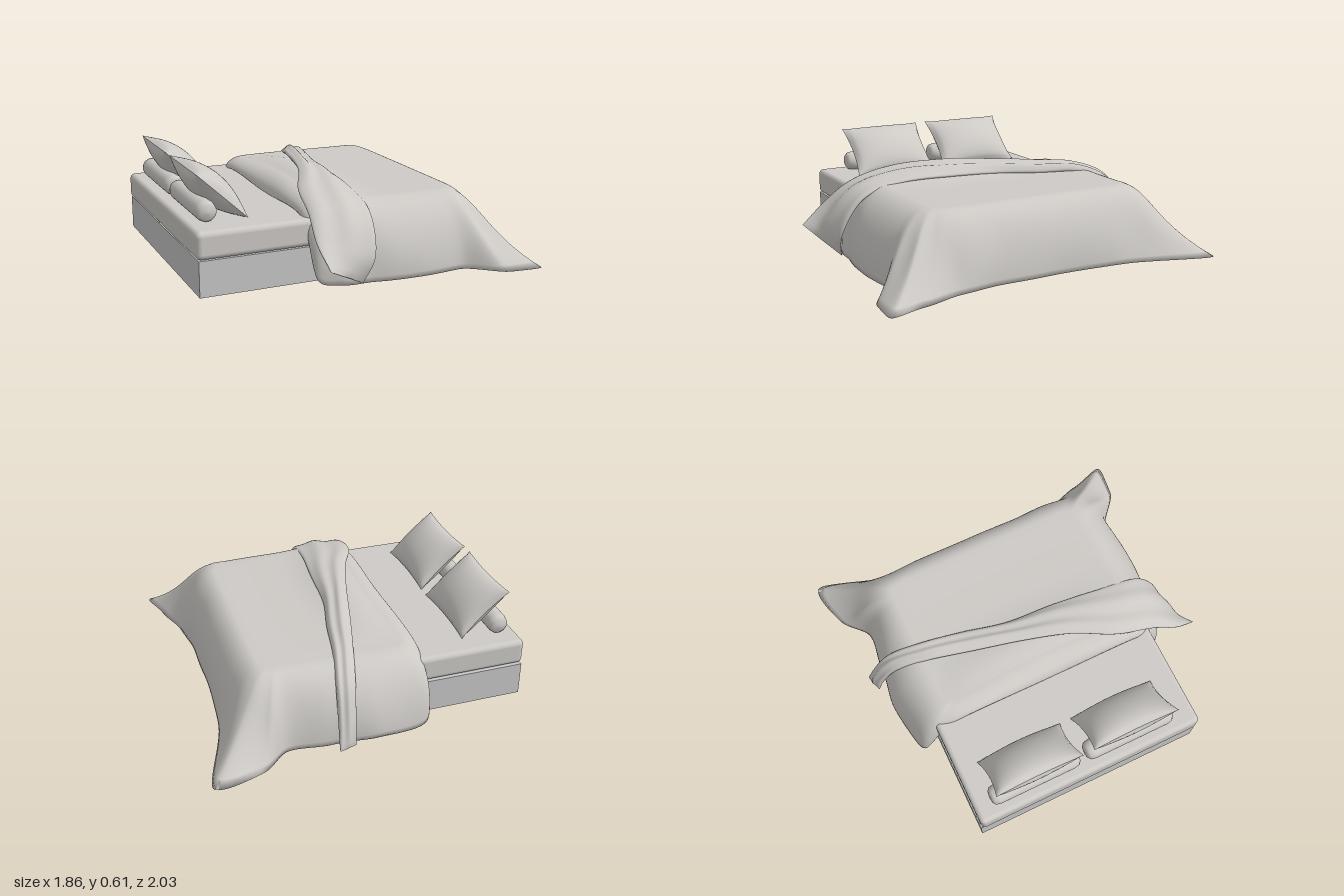
import * as THREE from 'three';
import { mergeGeometries } from 'three/addons/utils/BufferGeometryUtils.js';
import { RoundedBoxGeometry } from 'three/addons/geometries/RoundedBoxGeometry.js';

const V = (x, y, z) => new THREE.Vector3(x, y, z);

// Skin over rows of points; every row is a closed ring
function loft(rows) {
  const n = rows[0].length, index = [];
  for (let i = 0; i < rows.length - 1; i++) {
    for (let j = 0; j < n; j++) {
      const k = (j + 1) % n, a = i * n + j, c = i * n + k, b = a + n, d = c + n;
      index.push(a, c, b, c, d, b);
    }
  }
  const g = new THREE.BufferGeometry().setFromPoints(rows.flat());
  g.setIndex(index);
  g.computeVertexNormals();
  return g;
}

// Height of the duvet's top, with a soft ridge towards the head
function topHeight(x, z) {
  const ridge = Math.exp(-(((x + 0.1) / 0.15) ** 2)) * Math.max(0, 1 - ((z - 0.08) / 0.65) ** 2);
  return 0.41 + 0.05 * ridge;
}

// Hem x, z, y, then crown x, z, then how far the hem flares along the floor
const DRAPE = [
  [0.77, 0, 0.01, 0.57, 0, 0],
  [0.77, 0.33, 0.01, 0.57, 0.32, 0],
  [0.81, 0.56, 0.01, 0.57, 0.48, 0.2],
  [0.87, 0.78, 0.01, 0.56, 0.54, 0.45],
  [0.93, 0.99, 0.01, 0.54, 0.57, 0.55],
  [0.72, 0.97, 0.01, 0.51, 0.58, 0.4],
  [0.52, 0.84, 0.01, 0.45, 0.58, 0.05],
  [0.25, 0.85, 0.01, 0.24, 0.58, 0],
  [0, 0.83, 0.01, 0, 0.58, 0],
  [-0.18, 0.8, 0.01, -0.13, 0.58, 0],
  [-0.31, 0.75, 0.04, -0.22, 0.57, 0],
  [-0.33, 0.58, 0.34, -0.22, 0.48, 0],
  [-0.33, 0.05, 0.34, -0.2, 0, 0],
  [-0.33, -0.6, 0.34, -0.22, -0.52, 0],
  [-0.31, -0.83, 0.02, -0.21, -0.61, 0],
  [0, -0.88, 0.02, 0, -0.62, 0],
  [0.26, -0.86, 0.01, 0.25, -0.62, 0],
  [0.5, -0.84, 0.01, 0.46, -0.62, 0.05],
  [0.67, -0.98, 0.01, 0.51, -0.62, 0.4],
  [0.93, -1, 0.01, 0.55, -0.61, 0.55],
  [0.84, -0.68, 0.01, 0.57, -0.53, 0.35],
  [0.78, -0.42, 0.01, 0.57, -0.38, 0.05],
];

function duvetGeometry() {
  const closed = f => new THREE.CatmullRomCurve3(DRAPE.map(f), true, 'catmullrom', 0.4);
  const hems = closed(p => V(p[0], p[2], p[1]));
  const crowns = closed(p => V(p[3], 0, p[4]));
  const flares = closed(p => V(p[5], 0, 0));
  const N = 220, TOP = 12, SIDE = 22, rows = [];
  for (let i = 0; i <= TOP + SIDE + 2; i++) {
    const row = [];
    for (let j = 0; j < N; j++) {
      const t = j / N, hem = hems.getPoint(t), crown = crowns.getPoint(t);
      const k = Math.max(0, flares.getPoint(t).x);
      const y0 = topHeight(crown.x, crown.z);
      if (i <= TOP) {
        // Flat top, spreading from the middle
        const p = V(0.18, 0, -0.02).lerp(crown, i / TOP);
        row.push(p.setY(topHeight(p.x, p.z)));
      } else if (i <= TOP + SIDE) {
        // Rounded drop with shallow creases
        const s = (i - TOP) / SIDE, a = s * Math.PI / 2;
        const out = (1 - k) * Math.sin(a) + k * s ** 4;
        const crease = 0.035 * (y0 - hem.y) / 0.4 * s * s * (1 - 0.6 * s)
          * (Math.sin(t * 113) + Math.sin(t * 69 + 5 * s));
        const p = crown.clone().lerp(hem, out + crease);
        row.push(p.setY(hem.y + (y0 - hem.y) * Math.cos(a)));
      } else {
        // Lip turned under the hem
        const q = i - TOP - SIDE, p = hem.clone().lerp(crown, q * 0.12);
        row.push(p.setY(hem.y + 0.015 * q));
      }
    }
    rows.push(row);
  }
  return loft(rows);
}

// Folded-back flap: matching points on its head edge and foot edge, front to back
const FLAP = [
  [-0.34, 0.16, 0.98, -0.09, 0.02, 0.84],
  [-0.355, 0.27, 0.84, -0.03, 0.16, 0.86],
  [-0.33, 0.38, 0.68, 0, 0.36, 0.74],
  [-0.29, 0.45, 0.45, 0.01, 0.43, 0.5],
  [-0.18, 0.485, 0.2, 0.04, 0.44, 0.2],
  [-0.1, 0.48, -0.05, 0.06, 0.43, -0.1],
  [-0.02, 0.455, -0.35, 0.12, 0.42, -0.35],
  [0.05, 0.42, -0.6, 0.17, 0.41, -0.61],
  [0.1, 0.34, -0.78, 0.21, 0.33, -0.78],
  [0.13, 0.17, -0.88, 0.23, 0.16, -0.89],
  [0.14, 0.03, -0.92, 0.24, 0.03, -0.95],
];

function flapGeometry() {
  const head = new THREE.CatmullRomCurve3(FLAP.map(p => V(p[0], p[1], p[2])));
  const foot = new THREE.CatmullRomCurve3(FLAP.map(p => V(p[3], p[4], p[5])));
  const rows = [], M = 80, N = 40;
  for (let i = 0; i <= M; i++) {
    const t = i / M, h = head.getPoint(t), f = foot.getPoint(t), row = [];
    const normal = f.clone().sub(h).cross(head.getTangent(t).add(foot.getTangent(t))).normalize();
    const thick = 0.034 * Math.min(1, 0.1 + 5 * Math.sqrt(t * (1 - t)) * 0.5);
    for (let j = 0; j < N; j++) {
      const a = j / N * Math.PI * 2, w = (1 - Math.cos(a)) / 2;
      const crease = 0.007 * Math.sin(a) * Math.cos(w * 13 - t * 7);
      row.push(h.clone().lerp(f, w).addScaledVector(normal, thick * Math.sin(a) + crease * thick / 0.034));
    }
    rows.push(row);
  }
  return loft(rows);
}

// Stuffed cushion with pointed corners, facing +z
function cushionGeometry(w, h, depth) {
  const side = sign => {
    const g = new THREE.PlaneGeometry(2, 2, 28, 28), p = g.attributes.position;
    if (sign < 0) g.rotateY(Math.PI);
    for (let i = 0; i < p.count; i++) {
      const u = p.getX(i), v = p.getY(i);
      const a = Math.max(0, 1 - u * u), b = Math.max(0, 1 - v * v);
      p.setXYZ(i, u * w / 2 * (1 - 0.07 * b * u * u), v * h / 2 * (1 - 0.07 * a * v * v),
        sign * depth / 2 * (a * b) ** 0.55);
    }
    g.computeVertexNormals();
    return g;
  };
  return mergeGeometries([side(1), side(-1)]);
}

// Bolster along z with rounded ends
function bolsterGeometry(length, r) {
  const half = length / 2;
  const profile = [[0, -half], [r * 0.6, -half + 0.005], [r * 0.9, -half + 0.02], [r, -half + 0.05],
    [r, half - 0.05], [r * 0.9, half - 0.02], [r * 0.6, half - 0.005], [0, half]];
  return new THREE.LatheGeometry(profile.map(p => new THREE.Vector2(...p)), 32).rotateX(Math.PI / 2);
}

export function createModel() {
  const bed = new THREE.Group();
  bed.name = 'bed';
  const frameGrey = new THREE.MeshStandardMaterial({ color: 0xc8c8c8 });
  frameGrey.name = 'frame grey';
  const linen = new THREE.MeshStandardMaterial({ color: 0xcdcac6, side: THREE.DoubleSide });
  linen.name = 'linen';
  const add = (name, geometry, material, x = 0, y = 0, z = 0) => {
    const m = new THREE.Mesh(geometry, material);
    m.name = name;
    m.position.set(x, y, z);
    bed.add(m);
    return m;
  };

  // Plinth and mattress
  add('base', new THREE.BoxGeometry(1.52, 0.195, 1.38), frameGrey, -0.16, 0.0985, -0.03);
  add('mattress', new RoundedBoxGeometry(1.54, 0.15, 1.38, 5, 0.03), linen, -0.16, 0.271, -0.025);

  // Bedding
  add('duvet', duvetGeometry(), linen);
  add('duvetFlap', flapGeometry(), linen);

  // Two leaning cushions, each in front of a bolster
  for (const [side, z] of [['left', 0.255], ['right', -0.33]]) {
    add(side + 'Bolster', bolsterGeometry(0.55, 0.058), linen, -0.82, 0.402, z - 0.01);
    const c = add(side + 'Cushion', cushionGeometry(0.52, 0.37, 0.17), linen, -0.735, 0.475, z);
    c.rotation.set(0, Math.PI / 2, 0);
    c.rotateX(-0.82);
  }
  return bed;
}
